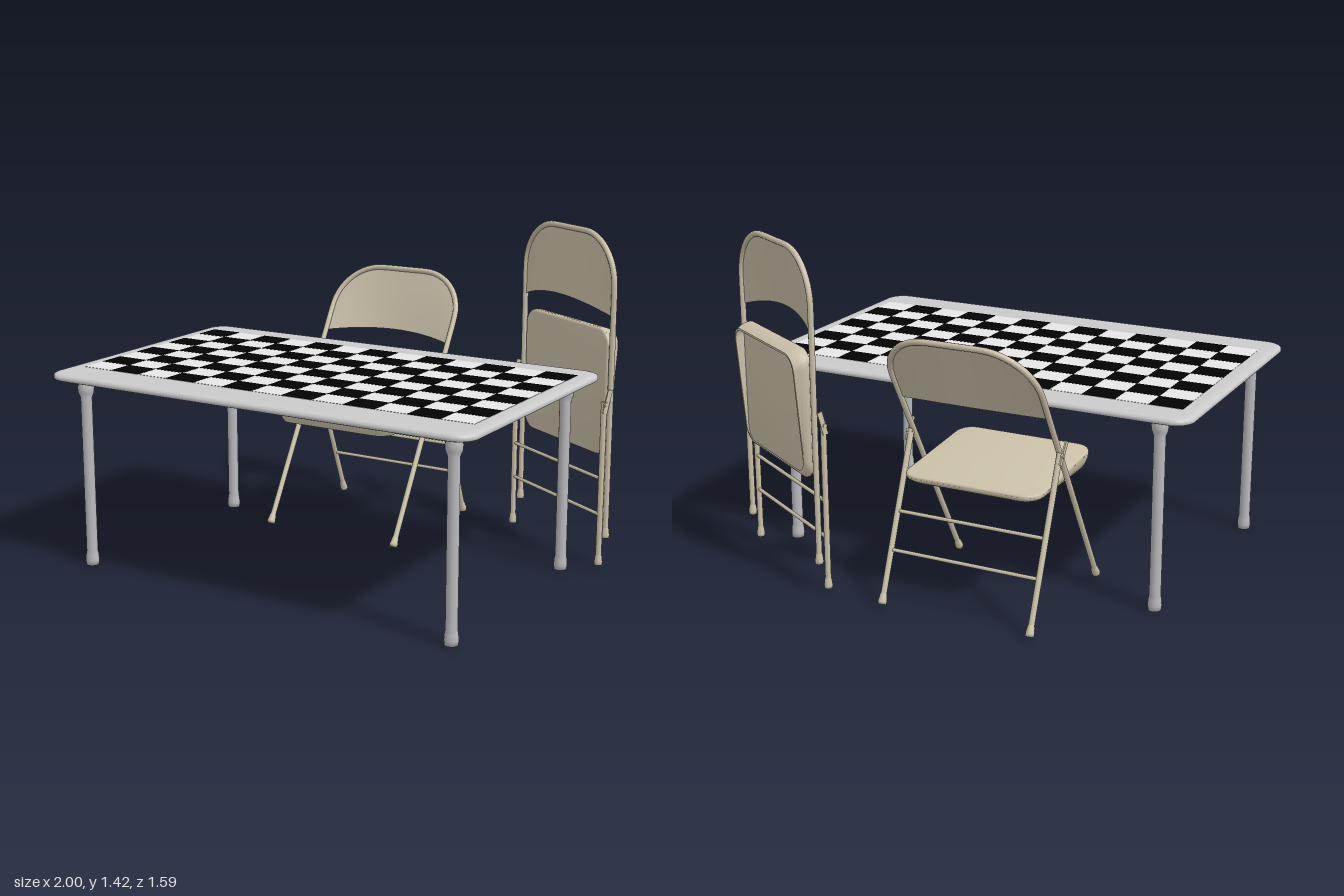
import * as THREE from 'three';
import { mergeGeometries, toCreasedNormals } from 'three/addons/utils/BufferGeometryUtils.js';

const mat = (name, color, side = THREE.FrontSide) => {
  const m = new THREE.MeshStandardMaterial({ color, side });
  m.name = name;
  return m;
};

function roundedRect(w, d, r) {
  const s = new THREE.Shape(), x = w / 2, y = d / 2;
  s.absarc(x - r, y - r, r, 0, Math.PI / 2);
  s.absarc(-x + r, y - r, r, Math.PI / 2, Math.PI);
  s.absarc(-x + r, -y + r, r, Math.PI, Math.PI * 1.5);
  s.absarc(x - r, -y + r, r, Math.PI * 1.5, Math.PI * 2);
  s.closePath();
  return s;
}

// Horizontal slab with rounded corners and edges, underside on y = 0
function slab(w, d, h, r, bevel, bevelH) {
  const g = new THREE.ExtrudeGeometry(roundedRect(w - 2 * bevel, d - 2 * bevel, r - bevel), {
    depth: h - 2 * bevelH, bevelSize: bevel, bevelThickness: bevelH, bevelSegments: 4, curveSegments: 8,
  });
  g.translate(0, 0, bevelH).rotateX(-Math.PI / 2);
  return toCreasedNormals(g, 0.7);
}

// Thin wall under the seat edge, drawn in below, deep at the front and shallow at the rear
function seatSkirt(w, d, r, wall) {
  const shape = roundedRect(w, d, r);
  shape.holes.push(roundedRect(w - 2 * wall, d - 2 * wall, r - wall));
  const g = new THREE.ExtrudeGeometry(shape, { depth: 1, steps: 3, bevelEnabled: false, curveSegments: 8 });
  g.rotateX(-Math.PI / 2);
  const p = g.attributes.position;
  for (let i = 0; i < p.count; i++) {
    const t = 1 - p.getY(i), inset = 1 - 0.07 * t * t, z = p.getZ(i);
    p.setXYZ(i, p.getX(i) * inset, -0.01 - t * (0.045 + 0.075 * z), z * inset);
  }
  return toCreasedNormals(g, 0.7);
}

function add(parent, name, geometry, material, x = 0, y = 0, z = 0) {
  const m = new THREE.Mesh(geometry, material);
  m.name = name;
  m.position.set(x, y, z);
  parent.add(m);
  return m;
}

const group = (parent, name, y = 0, z = 0, tilt = 0) => {
  const g = new THREE.Group();
  g.name = name;
  g.position.set(0, y, z);
  g.rotation.x = tilt;
  parent.add(g);
  return g;
};

const lathe = (pts, n = 16) => new THREE.LatheGeometry(pts.map(p => new THREE.Vector2(...p)), n);

export function createModel() {
  const model = new THREE.Group();
  model.name = 'tableAndChairs';
  const grey = mat('tableGrey', 0xcacaca), legGrey = mat('legGrey', 0xb9b9bd);
  const white = mat('boardLight', 0xe6e6e6), black = mat('boardDark', 0x030303);
  const beige = mat('chairBeige', 0xcac0a9), sheet = mat('chairPanelBeige', 0xcac0a9, THREE.DoubleSide);

  // Table top and legs
  const table = group(model, 'table');
  add(table, 'tableTop', slab(1.96, 1.215, 0.035, 0.085, 0.04, 0.0125), grey, -0.02, 0.81, 0.1875);
  const legGeo = lathe([[0, 0], [0.027, 0], [0.029, 0.02], [0.027, 0.045], [0.024, 0.06], [0.024, 0.73],
    [0.033, 0.752], [0.035, 0.775], [0.028, 0.798], [0.025, 0.815]]);
  for (const [x, z] of [[-0.885, 0.677], [0.84, 0.677], [-0.845, -0.302], [0.84, -0.302]])
    add(table, 'tableLeg', legGeo, legGrey, x, 0, z);

  // Chequered board: light plate with dark squares
  const cols = 13, rows = 8, cw = 1.825 / cols, cd = 0.915 / rows, squares = [];
  add(table, 'boardPlate', new THREE.BoxGeometry(1.825, 0.002, 0.915), white, -0.0175, 0.845, 0.1675);
  for (let r = 0; r < rows; r++)
    for (let c = r % 2; c < cols; c += 2)
      squares.push(new THREE.BoxGeometry(cw, 0.002, cd)
        .translate(-0.93 + (c + 0.5) * cw, 0.846, -0.29 + (r + 0.5) * cd));
  add(table, 'darkSquares', mergeGeometries(squares), black);

  // Folding chair dimensions
  const half = 0.321, top = 1.279, corner = 0.21, R = 0.0125;
  const bulge = (u, t) => -0.048 * Math.max(0, 1 - (u / half) ** 2) * (1 - t);
  const archY = u => {
    const d = Math.max(0, Math.abs(u) - (half - corner));
    return top - corner + Math.sqrt(Math.max(0, corner * corner - d * d));
  };
  const hemY = u => 1.0 - 0.055 * (u / half) ** 2;
  const footGeo = lathe([[0, 0], [0.017, 0], [0.018, 0.012], [0.015, 0.035], [R, 0.045]], 12);

  function chair(name, pose) {
    const c = group(model, name);

    // Bent tube forming the front legs and the back arch
    const frame = group(c, 'frontFrame', ...pose.frame);
    const legYs = [0.02, 0.5, 0.95], pts = legYs.map(y => new THREE.Vector3(-half, y, 0));
    for (let i = 0; i <= 24; i++) {
      const a = Math.PI * (1 - i / 24);
      const u = Math.cos(a) * corner + Math.sign(i - 12) * (half - corner);
      pts.push(new THREE.Vector3(u, top - corner + Math.sin(a) * corner, 0));
    }
    pts.push(...legYs.reverse().map(y => new THREE.Vector3(half, y, 0)));
    const path = new THREE.CatmullRomCurve3(pts, false, 'centripetal');
    add(frame, 'frameTube', new THREE.TubeGeometry(path, 110, R, 10), beige);

    // Back panel filling the arch, hollowed towards its lower edge
    const panel = new THREE.PlaneGeometry(2, 1, 40, 8), p = panel.attributes.position;
    for (let i = 0; i < p.count; i++) {
      const u = half * Math.sin(p.getX(i) * Math.PI / 2), t = p.getY(i) + 0.5;
      p.setXYZ(i, u, THREE.MathUtils.lerp(hemY(u), archY(u), t), bulge(u, t));
    }
    panel.computeVertexNormals();
    add(frame, 'backPanel', panel, sheet);

    // Rear legs with two rungs and the folding links
    const rear = group(c, 'rearLegs', ...pose.rear);
    for (const s of [-1, 1]) {
      add(frame, 'frontFoot', footGeo, beige, s * half, 0, 0);
      add(rear, 'rearFoot', footGeo, beige, s * 0.326, 0, 0);
      add(rear, 'rearLeg', new THREE.CylinderGeometry(R, R, 0.69, 10), beige, s * 0.326, 0.365, 0);
      const link = add(rear, 'hingeLink', new THREE.BoxGeometry(0.006, 0.1, 0.022), beige, s * 0.338, 0.71, 0.008);
      link.rotation.x = 0.25;
      add(rear, 'hingeBolt', new THREE.CylinderGeometry(0.009, 0.009, 0.03, 10).rotateZ(Math.PI / 2), beige, s * 0.33, 0.7, 0);
    }
    for (const y of [0.22, 0.377])
      add(rear, 'rung', new THREE.CylinderGeometry(0.008, 0.008, 0.65, 8).rotateZ(Math.PI / 2), beige, 0, y, 0);

    // Seat pan, open underneath
    const seat = group(c, 'seat', ...pose.seat);
    add(seat, 'seatSkirt', seatSkirt(0.6, 0.542, 0.071, 0.01), beige);
    add(seat, 'seatTop', slab(0.6, 0.542, 0.024, 0.071, 0.012, 0.011), beige, 0, -0.024, 0);
    return c;
  }

  // Each pose entry is height, depth and tilt
  const open = chair('openChair', {
    frame: [0.02, -0.127, -0.529], rear: [0.015, -0.775, 0.374], seat: [0.557, -0.393, -0.085],
  });
  open.position.x = -0.195;

  const folded = chair('foldedChair', {
    frame: [0.126, 0.035, 0], rear: [0.013, 0, 0], seat: [0.745, 0.027, -Math.PI / 2],
  });
  folded.position.set(0.69, 0, -0.565);
  folded.rotation.y = Math.PI - 0.535;

  return model;
}
